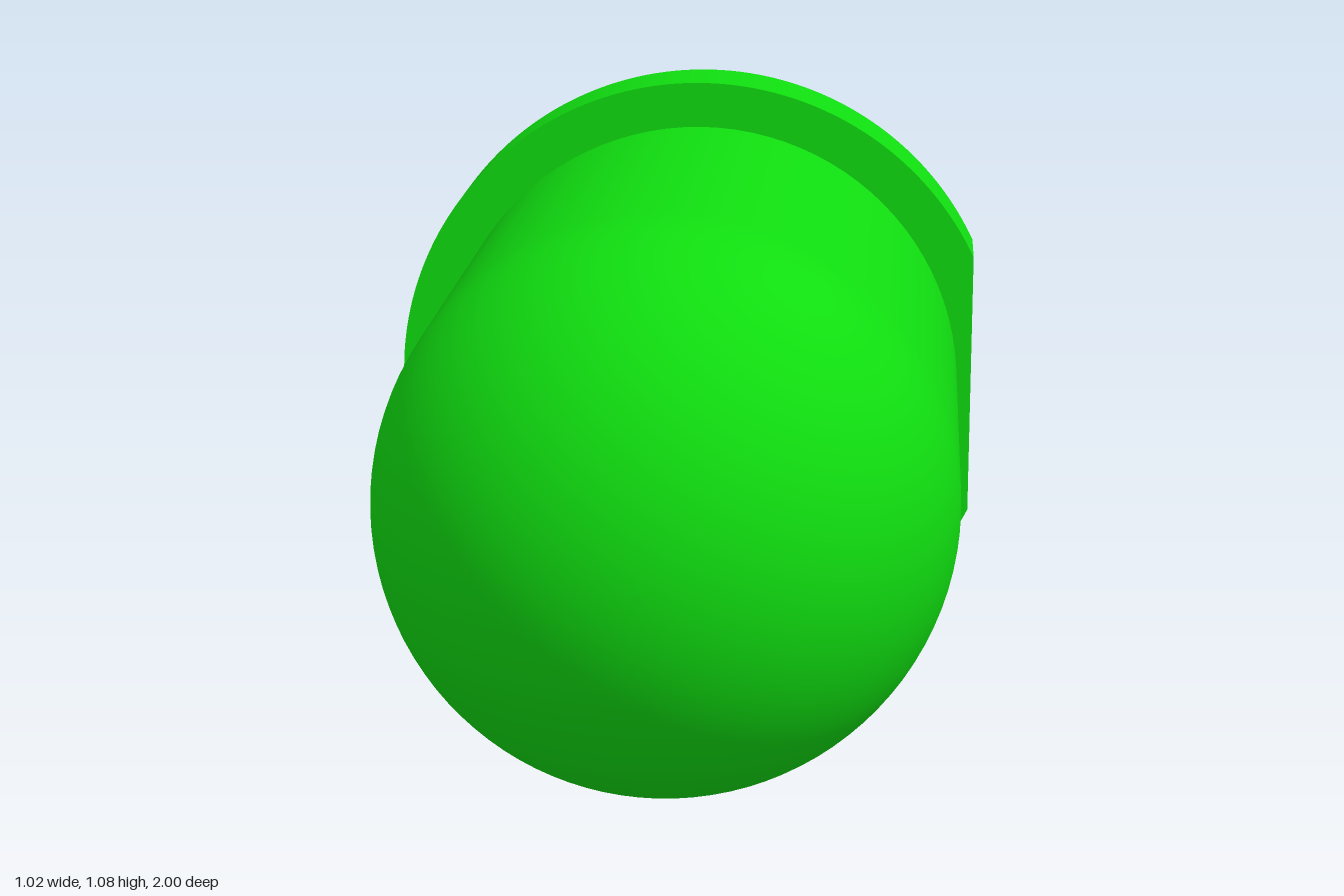
import * as THREE from 'three';
import { toCreasedNormals } from 'three/addons/utils/BufferGeometryUtils.js';

const CX = 0.025, CY = 0.538; // axis of the lens and rim

// Extrude a shape along z between two depths, with smooth curves and sharp edges
function prism(shape, zBack, zFront, curveSegments) {
  const geo = new THREE.ExtrudeGeometry(shape, {
    depth: zFront - zBack, bevelEnabled: false, curveSegments,
  });
  geo.translate(0, 0, zBack);
  return toCreasedNormals(geo, 0.3);
}

// Rectangle with rounded corners, centred on the origin
function roundedRect(w, h, r) {
  const x = w / 2 - r, y = h / 2 - r, q = Math.PI / 2;
  const s = new THREE.Shape();
  s.absarc(x, y, r, 0, q);
  s.absarc(-x, y, r, q, 2 * q);
  s.absarc(-x, -y, r, 2 * q, 3 * q);
  s.absarc(x, -y, r, 3 * q, 4 * q);
  s.closePath();
  return s;
}

export function createModel() {
  const green = new THREE.MeshStandardMaterial({ name: 'green plastic', color: 0x10dd10 });
  const metal = new THREE.MeshStandardMaterial({ name: 'grey metal', color: 0xb0b7d0 });
  const model = new THREE.Group();
  model.name = 'lightEmittingDiode';

  const add = (name, geo, mat, x, y) => {
    const mesh = new THREE.Mesh(geo, mat);
    mesh.name = name;
    mesh.position.set(x, y, 0);
    model.add(mesh);
  };

  // Lens: straight barrel ending in a hemisphere, turned to face +z
  const R = 0.46, domeZ = 0.54;
  const profile = [new THREE.Vector2(R, -0.23)];
  for (let i = 0; i <= 32; i++) {
    const a = (i / 32) * Math.PI / 2;
    profile.push(new THREE.Vector2(i === 32 ? 0 : R * Math.cos(a), domeZ + R * Math.sin(a)));
  }
  add('lens', new THREE.LatheGeometry(profile, 96).rotateX(Math.PI / 2), green, CX, CY);

  // Rim: disc with a flat cut on the left side
  const rimR = 0.538, cut = Math.acos((0.51 - CX) / rimR);
  const rim = new THREE.Shape();
  rim.absarc(0, 0, rimR, cut, 2 * Math.PI - cut);
  rim.closePath();
  add('rim', prism(rim, -0.385, -0.23, 96), green, CX, CY);

  // Leads: a wide and a narrow rounded bar out of the back
  for (const [name, x, width] of [['wideLead', -0.205, 0.15], ['narrowLead', 0.24, 0.12]]) {
    add(name, prism(roundedRect(width, 0.09, 0.027), -1, -0.38, 8), metal, x, 0.54);
  }
  return model;
}
